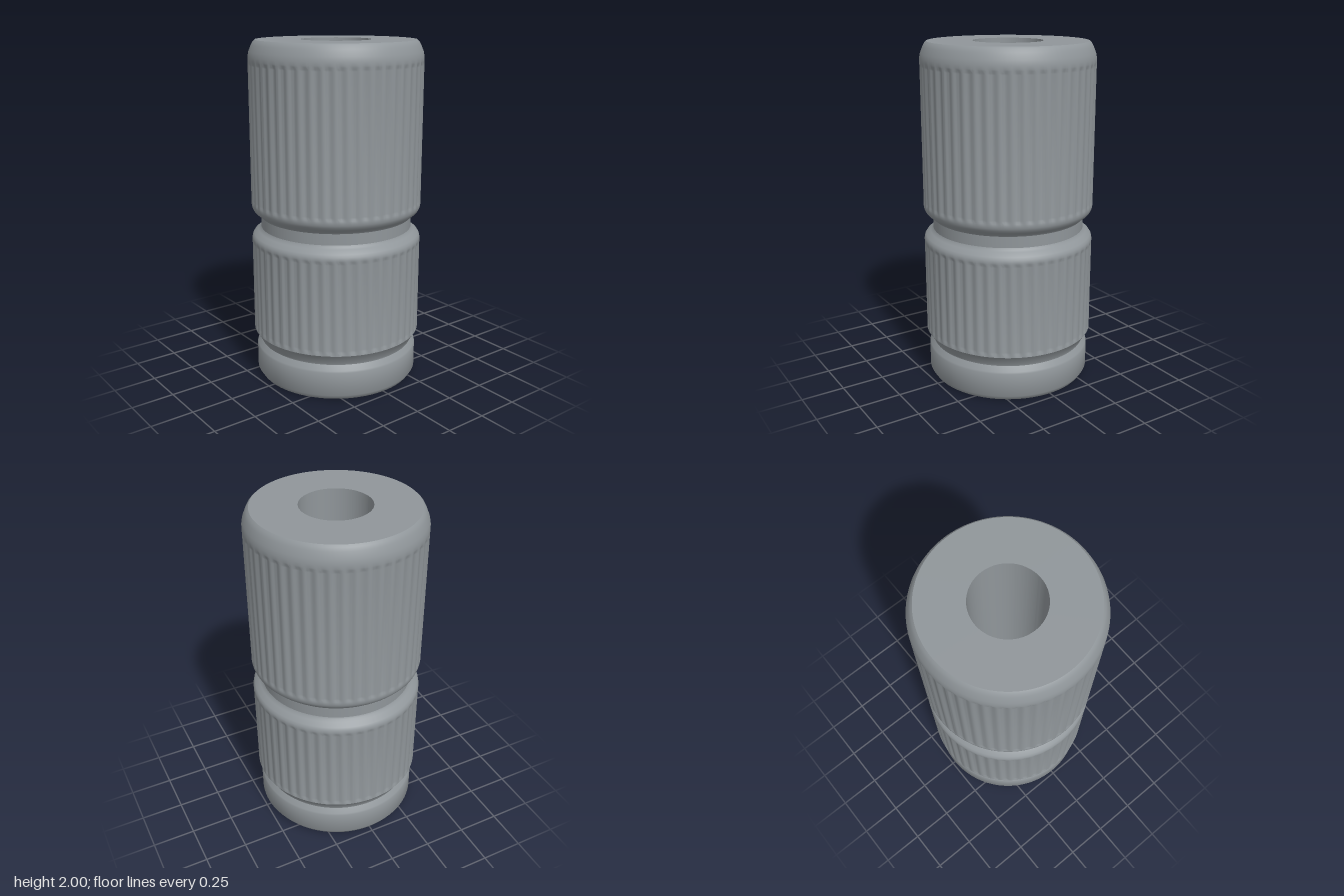
import * as THREE from 'three';
import { mergeVertices, toCreasedNormals } from 'three/addons/utils/BufferGeometryUtils.js';

const RIBS = 48;
const SEGMENTS = RIBS * 8;
const DEPTH = 0.008;

export function createModel() {
  const group = new THREE.Group();
  group.name = 'knurledInsert';
  const metal = new THREE.MeshStandardMaterial({ color: 0x90969a });
  metal.name = 'grey metal';

  // Revolve a [radius, height] profile; ribs = [bottom, top] cuts shallow flutes there
  function turned(name, profile, ribs) {
    const points = profile.map(([r, y]) => new THREE.Vector2(r, y));
    let geo = new THREE.LatheGeometry(points, SEGMENTS);
    if (ribs) {
      const p = geo.attributes.position;
      for (let i = 0; i < p.count; i++) {
        const y = p.getY(i);
        const fade = THREE.MathUtils.smoothstep(y, ribs[0], ribs[0] + 0.03)
          * (1 - THREE.MathUtils.smoothstep(y, ribs[1] - 0.03, ribs[1]));
        const angle = Math.atan2(p.getX(i), p.getZ(i));
        const r = Math.hypot(p.getX(i), p.getZ(i));
        const k = 1 - DEPTH * fade * (0.5 - 0.5 * Math.cos(angle * RIBS)) / r;
        p.setX(i, p.getX(i) * k);
        p.setZ(i, p.getZ(i) * k);
      }
    }
    geo.deleteAttribute('uv');
    geo.deleteAttribute('normal');
    geo = toCreasedNormals(mergeVertices(geo, 1e-5), 0.6);
    const mesh = new THREE.Mesh(geo, metal);
    mesh.name = name;
    group.add(mesh);
  }

  // Straight fluted wall, with extra rows where the flutes run out
  const wall = (y0, y1) => [0, 0.01, 0.02, 0.03].map((d) => [0.5, y0 + d])
    .concat([0.03, 0.02, 0.01, 0].map((d) => [0.5, y1 - d]));

  // Plain pilot collar with flat underside
  turned('pilotCollar', [
    [0.2, 0], [0.455, 0], [0.467, 0.007], [0.485, 0.035],
    [0.485, 0.175], [0.48, 0.185], [0.46, 0.215],
  ]);

  // Lower fluted band, flared below and rounded above
  turned('lowerKnurl', [
    [0.46, 0.215], [0.462, 0.225], [0.493, 0.275],
    ...wall(0.285, 0.85),
    [0.497, 0.866], [0.488, 0.88], [0.462, 0.9], [0.45, 0.91], [0.445, 0.92],
  ], [0.285, 0.85]);

  // Groove between the bands
  turned('neckGroove', [[0.445, 0.92], [0.445, 0.985]]);

  // Upper fluted band with rounded rims and flat top
  turned('upperKnurl', [
    [0.445, 0.985], [0.452, 0.996], [0.478, 1.014], [0.492, 1.03], [0.498, 1.045],
    ...wall(1.06, 1.89),
    [0.499, 1.91], [0.494, 1.935], [0.479, 1.972], [0.469, 1.99], [0.458, 2], [0.2, 2],
  ], [1.06, 1.89]);

  // Through hole
  turned('bore', [[0.2, 2], [0.2, 0]]);

  return group;
}
